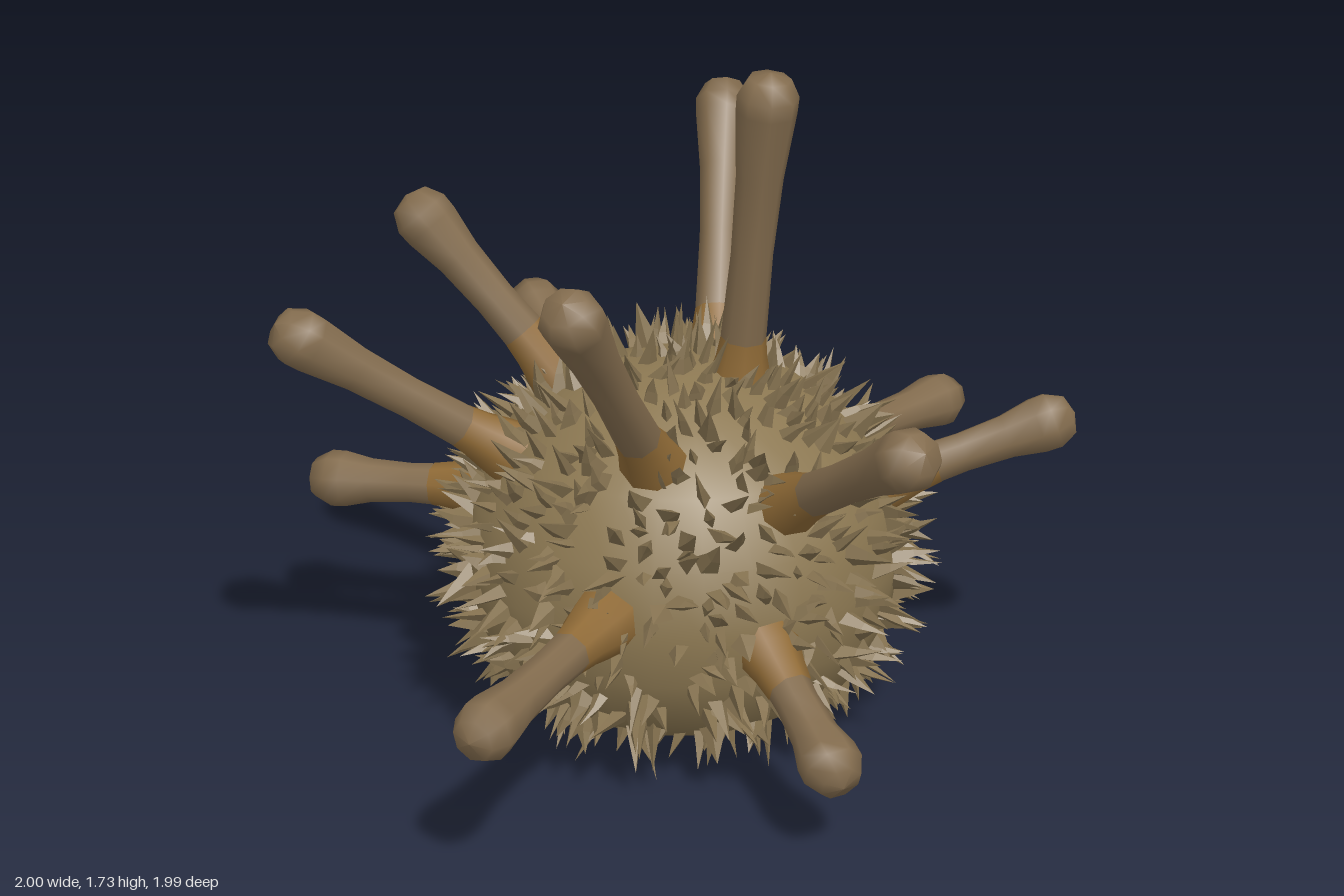
import * as THREE from 'three';
import { mergeGeometries } from 'three/addons/utils/BufferGeometryUtils.js';

const UP = new THREE.Vector3(0, 1, 0);

// Seeded random numbers in 0..1
function seeded(seed) {
  return () => {
    seed = (seed * 16807) % 2147483647;
    return seed / 2147483647;
  };
}

// Body outline as [radius, height], from the underside to the crown
const OUTLINE = [
  [0, 0.1], [0.2, 0.085], [0.36, 0.07], [0.48, 0.16], [0.54, 0.3], [0.56, 0.44],
  [0.53, 0.6], [0.44, 0.75], [0.3, 0.86], [0.15, 0.92], [0, 0.935],
].map(([r, y]) => new THREE.Vector2(r, y));

// Long spines: [root on the body, centre of the swollen tip]
const SPINES = [
  [[0.15, 0.9, 0.05], [0.2, 1.65, 0.15]],
  [[-0.1, 0.82, 0.36], [-0.31, 1.34, 0.75]],
  [[0.23, 0.72, 0.42], [0.44, 1.01, 0.84]],
  [[-0.25, 0.46, 0.53], [-0.53, 0.43, 0.94]],
  [[0.17, 0.38, 0.53], [0.28, 0.23, 0.84]],
  [[-0.45, 0.75, 0.08], [-0.93, 1.1, 0.18]],
  [[-0.3, 0.87, -0.13], [-0.62, 1.25, -0.25]],
  [[0.13, 0.83, -0.3], [0.2, 1.37, -0.75]],
  [[0.53, 0.62, 0.08], [0.94, 0.76, 0.08]],
  [[0.43, 0.53, -0.36], [0.81, 0.5, -0.7]],
  [[-0.5, 0.47, -0.3], [-0.88, 0.45, -0.44]],
  [[-0.17, 0.62, -0.52], [-0.31, 0.75, -0.92]],
];

// Lathe turned around the line from a point along a direction
function turned(profile, sides, origin, direction, material, name) {
  const geometry = new THREE.LatheGeometry(profile.map(([r, y]) => new THREE.Vector2(r, y)), sides);
  const mesh = new THREE.Mesh(geometry, material);
  mesh.position.copy(origin);
  mesh.quaternion.setFromUnitVectors(UP, direction);
  mesh.name = name;
  return mesh;
}

// Club-ended spine with a flared collar where it leaves the body
function makeSpine([rootPoint, tipPoint], materials) {
  const root = new THREE.Vector3(...rootPoint);
  const direction = new THREE.Vector3(...tipPoint).sub(root);
  const reach = direction.length();
  direction.normalize();
  const shaft = [
    [0.058, -0.08], [0.057, reach * 0.15], [0.052, reach * 0.45], [0.058, reach * 0.72],
    [0.074, reach - 0.04], [0.075, reach], [0.052, reach + 0.045], [0, reach + 0.06],
  ];
  const collar = [[0.09, -0.06], [0.076, 0.01], [0.064, 0.06], [0.056, 0.12]];
  const spine = new THREE.Group();
  spine.name = 'spine';
  spine.add(turned(shaft, 8, root, direction, materials.spine, 'spineShaft'));
  spine.add(turned(collar, 8, root, direction, materials.collar, 'spineCollar'));
  return spine;
}

// Short bent thorns spread evenly over the outline's surface
function makeThorns(count, material) {
  const random = seeded(4711);
  const parts = [];
  // Running area of each band, so that thorns keep an even density
  const bands = [];
  let total = 0;
  for (let i = 2; i < OUTLINE.length - 1; i++) {
    const a = OUTLINE[i], b = OUTLINE[i + 1];
    total += (a.x + b.x) * a.distanceTo(b);
    bands.push({ a, b, end: total });
  }
  for (let i = 0; i < count; i++) {
    const target = ((i + random()) / count) * total;
    const { a, b, end } = bands.find((band) => band.end >= target);
    const t = 1 - (end - target) / ((a.x + b.x) * a.distanceTo(b));
    const p = a.clone().lerp(b, t);
    const angle = i * 2.39996 + random() * 0.3;
    const c = Math.cos(angle), s = Math.sin(angle);
    const slope = b.clone().sub(a).normalize();
    const normal = new THREE.Vector3(slope.y * c, -slope.x, slope.y * s);
    normal.x += (random() - 0.5) * 0.7;
    normal.y += (random() - 0.5) * 0.7;
    normal.z += (random() - 0.5) * 0.7;
    normal.normalize();

    const length = 0.07 + random() * 0.07;
    const thorn = new THREE.ConeGeometry(0.022 + random() * 0.02, length, 4, 2, true);
    const bend = (random() - 0.5) * 0.06;
    const vertices = thorn.attributes.position;
    for (let k = 0; k < vertices.count; k++) {
      const h = vertices.getY(k) / length + 0.5;
      vertices.setXYZ(k, vertices.getX(k) + bend * h * h, h * length - 0.018, vertices.getZ(k) * 0.6);
    }
    thorn.rotateY(random() * Math.PI * 2);
    thorn.applyQuaternion(new THREE.Quaternion().setFromUnitVectors(UP, normal));
    thorn.translate(p.x * c, p.y, p.x * s);
    parts.push(thorn);
  }
  const mesh = new THREE.Mesh(mergeGeometries(parts), material);
  mesh.name = 'thorns';
  return mesh;
}

export function createModel() {
  const materials = {
    body: new THREE.MeshStandardMaterial({ color: 0x8c7852 }),
    thorn: new THREE.MeshStandardMaterial({ color: 0x857250, flatShading: true, side: THREE.DoubleSide }),
    spine: new THREE.MeshStandardMaterial({ color: 0x836c4e }),
    collar: new THREE.MeshStandardMaterial({ color: 0x8f6a36 }),
  };
  const model = new THREE.Group();
  model.name = 'seaUrchin';

  // Rounded shell with a shallow hollow underneath
  const shell = new THREE.Group();
  shell.name = 'shell';
  shell.position.set(0.01, 0, 0.01);
  const body = new THREE.Mesh(new THREE.LatheGeometry(OUTLINE, 28), materials.body);
  body.name = 'body';
  shell.add(body, makeThorns(850, materials.thorn));
  model.add(shell);

  SPINES.forEach((spine) => model.add(makeSpine(spine, materials)));
  return model;
}
